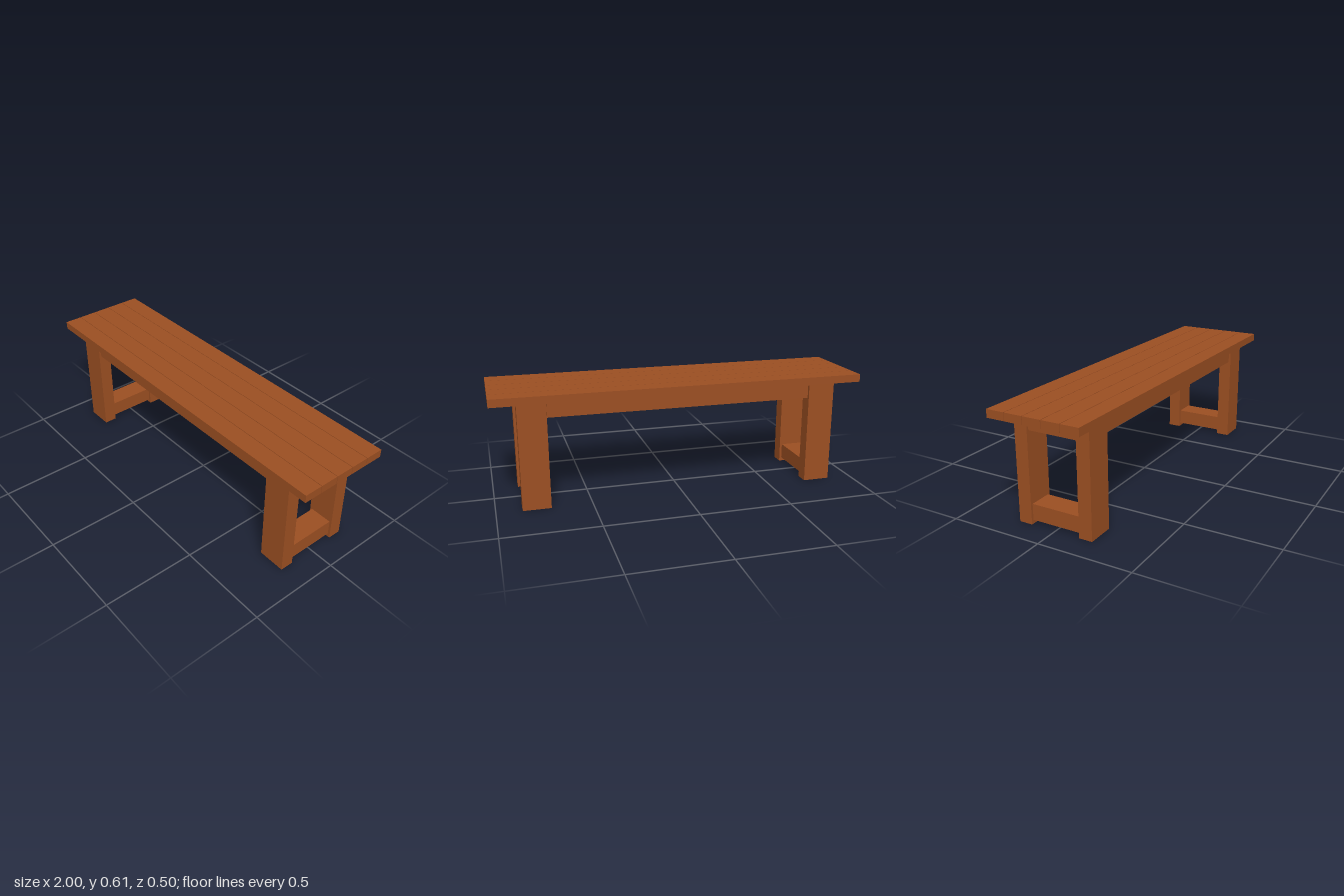
import * as THREE from 'three';

export function createModel() {
  const bench = new THREE.Group();
  bench.name = 'bench';
  const wood = new THREE.MeshStandardMaterial({ color: 0x9c4f22 });
  wood.name = 'brown wood';

  // A squared timber given by its extents on each axis
  function timber(name, [x0, x1], [y0, y1], [z0, z1]) {
    const mesh = new THREE.Mesh(new THREE.BoxGeometry(x1 - x0, y1 - y0, z1 - z0), wood);
    mesh.position.set((x0 + x1) / 2, (y0 + y1) / 2, (z0 + z1) / 2);
    mesh.name = name;
    bench.add(mesh);
  }
  const side = (s, a, b) => (s > 0 ? [a, b] : [-b, -a]);

  // Five seat planks with narrow gaps
  for (let i = -2; i <= 2; i++) {
    const z = i * 0.1005;
    timber('seatPlank', [-1, 1], [0.57, 0.612], [z - 0.0488, z + 0.0488]);
  }

  for (const s of [1, -1]) {
    // Long rail under the seat, set slightly in from the leg faces
    timber(s > 0 ? 'frontRail' : 'backRail', [-0.715, 0.715], [0.485, 0.569], side(s, 0.152, 0.198));

    // Legs at this end
    for (const t of [1, -1]) {
      timber(t > 0 ? 'frontLeg' : 'backLeg', side(s, 0.717, 0.865), [0, 0.569], side(t, 0.137, 0.209));
    }

    // Cross pieces joining the two legs, top and bottom
    timber('topCrossRail', side(s, 0.73, 0.852), [0.483, 0.567], [-0.137, 0.137]);
    timber('footStretcher', side(s, 0.73, 0.852), [0.02, 0.105], [-0.137, 0.137]);
  }
  return bench;
}
